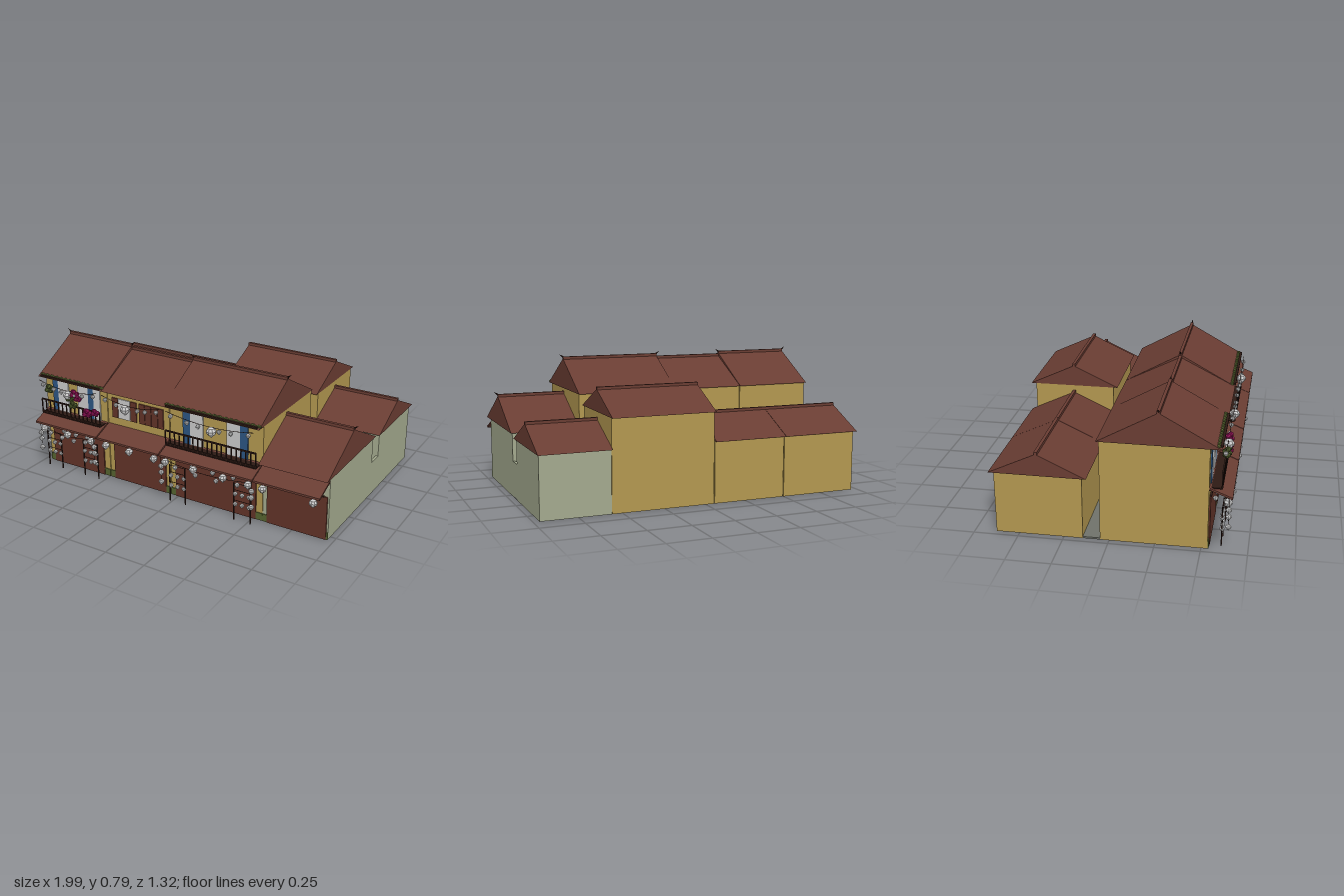
import * as THREE from 'three';

const mat = (name, color) => {
  const m = new THREE.MeshStandardMaterial({ color, flatShading: true });
  m.name = name;
  return m;
};

export function createModel() {
  const root = new THREE.Group();
  root.name = 'shophouseRow';
  const M = {
    roof: mat('roofTile', 0x6a3d33), wood: mat('doorWood', 0x623328), dark: mat('darkTimber', 0x2e1a14),
    yellow: mat('yellowPlaster', 0xb39850), green: mat('greenPlaster', 0xa4aa8e), white: mat('paperWhite', 0xcacaca),
    blue: mat('blueShutter', 0x2c5582), pink: mat('blossom', 0xa01560), leaf: mat('leaf', 0x55632f), stone: mat('courtStone', 0x70726a),
  };
  const add = (name, geo, m, x = 0, y = 0, z = 0, parent = root) => {
    const mesh = new THREE.Mesh(geo, m);
    mesh.name = name;
    mesh.position.set(x, y, z);
    parent.add(mesh);
    return mesh;
  };
  // box given by its limits on each axis
  const box = (name, m, x0, x1, y0, y1, z0, z1) =>
    add(name, new THREE.BoxGeometry(x1 - x0, y1 - y0, z1 - z0), m, (x0 + x1) / 2, (y0 + y1) / 2, (z0 + z1) / 2);
  // [z, y] profile drawn out along x
  const alongX = (name, m, pts, x0, x1) => {
    const s = new THREE.Shape(pts.map(([z, y]) => new THREE.Vector2(-z, y)));
    const g = new THREE.ExtrudeGeometry(s, { depth: x1 - x0, bevelEnabled: false });
    g.rotateY(Math.PI / 2);
    return add(name, g, m, x0);
  };
  const rod = (name, a, b, r = 0.003) => {
    const c = new THREE.LineCurve3(new THREE.Vector3(...a), new THREE.Vector3(...b));
    return add(name, new THREE.TubeGeometry(c, 1, r, 4), M.dark);
  };
  // pitched roof with a ridge cap and optional upturned horns
  const roof = (x0, x1, zBack, zFront, eave, ridge, horns = []) => {
    const zc = (zBack + zFront) / 2;
    alongX('roof', M.roof, [[zFront, eave], [zc, ridge], [zBack, eave]], x0, x1);
    box('ridgeCap', M.roof, x0, x1, ridge - 0.01, ridge + 0.012, zc - 0.009, zc + 0.009);
    for (const d of horns) {
      const x = d < 0 ? x0 : x1;
      const h = add('ridgeHorn', new THREE.ConeGeometry(0.009, 0.045, 4), M.dark, x + d * 0.004, ridge + 0.013, zc);
      h.rotation.z = -d * 0.9;
    }
  };

  // houses: x limits, storeys and wall colours
  const houses = [
    { x0: -0.965, x1: -0.5, front: 0.585, back: 0.36, wall: M.yellow, ridge: 0.768, horns: [-1, 1] },
    { x0: -0.495, x1: -0.055, front: 0.585, back: 0.36, wall: M.yellow, ridge: 0.752, horns: [] },
    { x0: -0.05, x1: 0.56, front: 0.585, back: 0.53, wall: M.yellow, ridge: 0.768, horns: [-1, 1] },
    { x0: 0.562, x1: 0.965, front: 0.38, back: 0.36, wall: M.green, ridge: 0.555, horns: [1] },
  ];
  const doors = [[-0.93, -0.54, 0.285], [-0.46, -0.085, 0.26], [-0.015, 0.52, 0.285], [0.59, 0.955, 0.26]];
  houses.forEach((h, i) => {
    const { x0, x1, wall } = h;
    box('frontBlock', wall, x0, x1, 0, h.front, -0.05, 0.535);
    box('rearBlock', wall, x0, x1, 0, h.back, -0.63, -0.145);
    box('courtFloor', M.stone, x0, x1, 0, 0.01, -0.145, -0.05);
    box('courtWall', wall, x1 - 0.014, x1, 0, 0.215, -0.145, -0.05);
    const e0 = i === 0 ? 0.008 : i === 2 ? 0.006 : 0, e1 = i === 3 ? 0.01 : 0.003;
    roof(x0 - e0, x1 + e1, -0.065, 0.597, h.front, h.ridge, h.horns);
    roof(x0 - (i === 0 ? 0.008 : 0), x1 + e1, -0.66, -0.12, h.back, h.back + 0.127);
    // street awning and doors
    alongX('awning', M.roof, [[0.535, 0.362], [0.66, 0.312], [0.66, 0.3], [0.535, 0.35]], x0, x1 - 0.002);
    box('awningBeam', M.dark, x0, x1, 0.345, 0.358, 0.535, 0.541);
    const [d0, d1, top] = doors[i];
    box('shopDoors', M.wood, d0, d1, 0, top, 0.535, 0.543);
    if (i !== 1) box('doorHead', M.dark, d0 + 0.02, d1 - 0.02, top - 0.004, top + 0.004, 0.535, 0.546);
    if (i < 3) box('signBoard', M.wood, d0 + 0.08, d1 - 0.08, 0.285, 0.325, 0.535, 0.552);
    for (const [a, b] of [[x0, d0], [d1, x1]]) box('pierFoot', M.leaf, a, b, 0, 0.045, 0.535, 0.54);
  });

  // little lantern, pointed at both ends
  const lanternGeo = new THREE.LatheGeometry(
    [[0, -1.2], [0.35, -0.85], [0.9, -0.25], [1, 0.2], [0.65, 0.75], [0, 1]].map((p) => new THREE.Vector2(...p)), 8);
  const lantern = (x, y, z, r, m = M.white) => {
    add('lantern', lanternGeo, m, x, y, z).scale.setScalar(r);
  };
  // hanging cord that sags between two points
  const cord = (x0, x1, y, z, sag) => {
    const c = new THREE.QuadraticBezierCurve3(new THREE.Vector3(x0, y, z),
      new THREE.Vector3((x0 + x1) / 2, y - 2 * sag, z), new THREE.Vector3(x1, y, z));
    add('lanternCord', new THREE.TubeGeometry(c, 10, 0.002, 3), M.dark);
    return c;
  };

  // street lanterns under the awning
  for (const x of [-0.92, -0.74, -0.56, -0.45, -0.28, -0.105, -0.025, 0.165, 0.36, 0.52, 0.61, 0.915]) {
    lantern(x, 0.26, 0.635, 0.024);
    rod('lanternHook', [x, 0.28, 0.635], [x, 0.312, 0.635], 0.002);
  }
  for (const [a, b] of [[-0.92, -0.56], [-0.025, 0.52]]) {
    const c = cord(a, b, 0.275, 0.635, 0.025);
    for (let k = 1; k < 8; k++) {
      const p = c.getPoint(k / 8);
      lantern(p.x, p.y - 0.022, k % 2 ? 0.635 : 0.56, 0.015);
    }
    for (const x of [a - 0.025, b + 0.025]) {
      rod('lanternCord', [x, 0.3, 0.64], [x, 0.13, 0.64], 0.0015);
      for (const y of [0.23, 0.19, 0.13]) lantern(x, y, 0.64, 0.017);
    }
  }

  // lantern racks on posts beside the doors
  for (const x of [-0.925, -0.645, -0.015, 0.415]) {
    const w = 0.105;
    for (const px of [x, x + w]) box('rackPost', M.dark, px - 0.003, px + 0.003, 0, 0.235, 0.602, 0.608);
    for (const y of [0.232, 0.19, 0.125]) rod('rackRail', [x, y, 0.605], [x + w, y, 0.605], 0.002);
    for (let k = 0; k < 3; k++)
      for (const y of [0.165, 0.1]) lantern(x + 0.008 + k * 0.044, y, 0.605, 0.014);
  }

  // balconies with railings, posts and a leafy eave trim
  for (const [a, b] of [[-0.95, -0.51], [-0.04, 0.55]]) {
    box('balconyFloor', M.dark, a, b, 0.352, 0.358, 0.535, 0.605);
    for (const y of [0.365, 0.445]) box('rail', M.dark, a, b, y - 0.004, y + 0.004, 0.598, 0.606);
    const n = Math.round((b - a) / 0.031);
    for (let k = 0; k <= n; k++) {
      const x = a + ((b - a) * k) / n;
      box('baluster', M.dark, x - 0.003, x + 0.003, 0.358, 0.445, 0.599, 0.605);
    }
    box('eaveBeam', M.dark, a, b, 0.59, 0.6, 0.586, 0.6);
    const m = Math.round((b - a) / 0.034);
    for (let k = 0; k <= m; k++)
      add('eaveLeaf', new THREE.SphereGeometry(0.017, 6, 4), M.leaf, a + ((b - a) * k) / m, 0.596, 0.576).scale.set(1.1, 0.5, 0.7);
  }

  // upstairs doors, windows and shutters as thin panels
  const panel = (name, m, x0, x1, y0 = 0.36, y1 = 0.56) => box(name, m, x0, x1, y0, y1, 0.535, 0.542);
  for (const [a, b] of [[-0.87, -0.79], [-0.72, -0.64], [-0.6, -0.55], [0.09, 0.175], [0.33, 0.415]]) panel('paperDoor', M.white, a, b);
  for (const [a, b] of [[-0.91, -0.87], [-0.64, -0.6], [0.04, 0.09], [0.415, 0.465]]) panel('blueShutter', M.blue, a, b);
  panel('windowPane', M.white, -0.415, -0.33, 0.41, 0.535);
  for (const [a, b] of [[-0.46, -0.418], [-0.327, -0.285], [-0.265, -0.225], [-0.222, -0.18], [-0.177, -0.135], [-0.132, -0.095]])
    panel('woodShutter', M.wood, a, b, 0.41, 0.535);

  // upstairs garlands and large lanterns
  for (const [a, b] of [[-0.95, -0.52], [-0.48, -0.07], [-0.03, 0.54]]) {
    const c = cord(a, b, 0.57, 0.612, 0.03);
    for (const t of [0.06, 0.25, 0.38, 0.62, 0.75, 0.94]) {
      const p = c.getPoint(t);
      lantern(p.x, p.y - 0.018, p.z, 0.014);
    }
  }
  for (const x of [-0.73, -0.31, 0.275]) lantern(x, 0.515, 0.615, 0.03);

  // hanging flowers and foliage
  const bloom = (name, m, x, y, r) => {
    for (let k = 0; k < 5; k++) {
      const t = (k * Math.PI * 2) / 5;
      add(name, new THREE.IcosahedronGeometry(r * 0.55, 0), m, x + Math.cos(t) * r * 0.5, y + Math.sin(t) * r * 0.5, 0.612 + (k % 2) * 0.012 - 0.005);
    }
  };
  for (const [x, y, r] of [[-0.685, 0.535, 0.03], [-0.66, 0.51, 0.025], [-0.535, 0.445, 0.027], [-0.595, 0.43, 0.032]]) bloom('blossom', M.pink, x, y, r);
  for (const [x, y, r] of [[-0.875, 0.53, 0.032], [-0.72, 0.5, 0.028], [-0.7, 0.46, 0.028]]) bloom('foliage', M.leaf, x, y, r);

  // planters and crates in the rear court
  for (const [a, b] of [[-0.17, -0.1], [-0.015, 0.055]]) box('planter', M.leaf, a, b, 0.01, 0.1, -0.125, -0.055);
  for (const x of [-0.23, 0.095]) box('crate', M.wood, x - 0.024, x + 0.024, 0.01, 0.1, -0.125, -0.06);

  return root;
}
